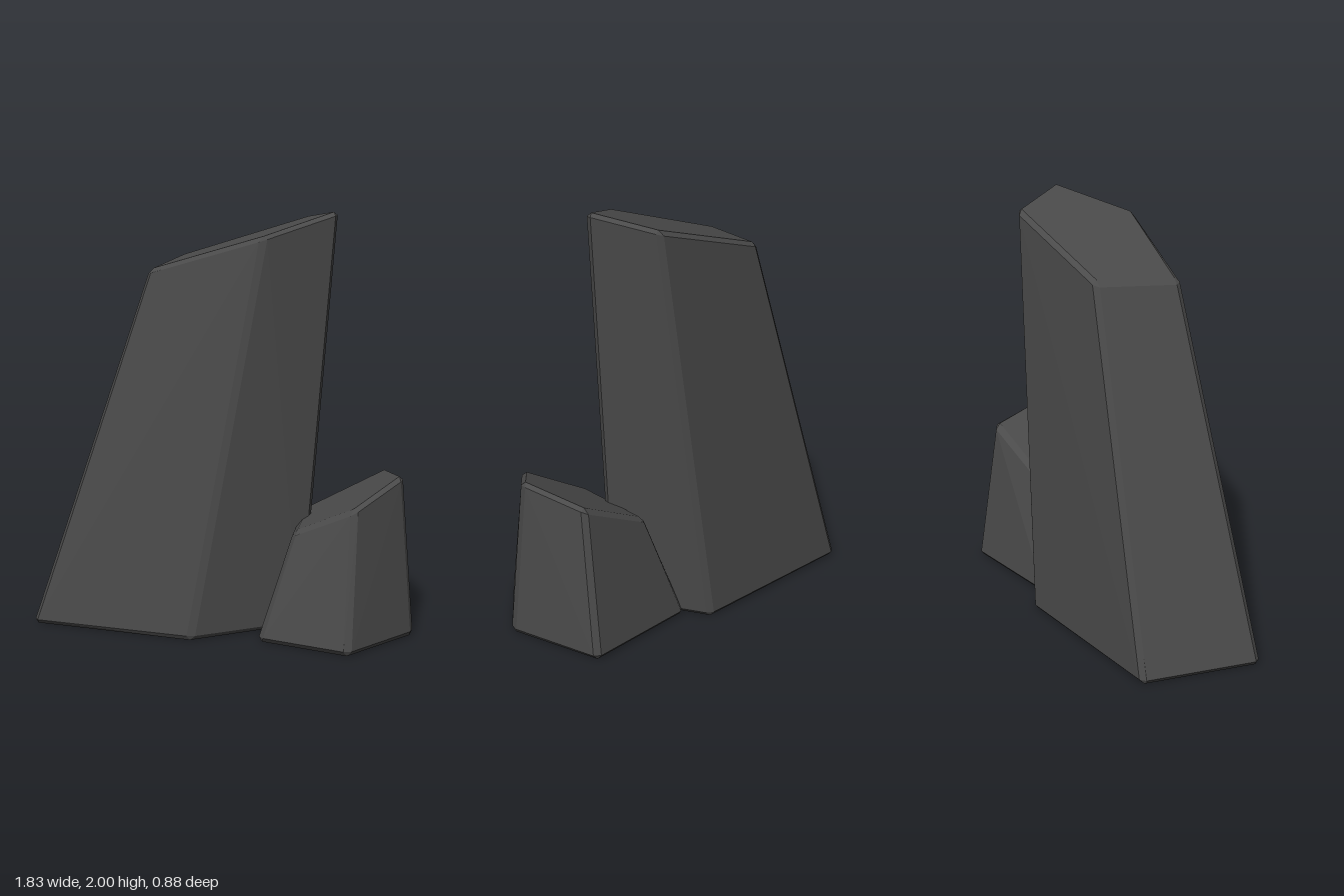
import * as THREE from 'three';
import { ConvexGeometry } from 'three/addons/geometries/ConvexGeometry.js';

// Five-sided slanted stone: base and top corners are [x, z] pairs,
// the top plane is y = height + slope * x, and every edge is chamfered.
function stoneGeometry(base, top, height, slope, bevel) {
  const n = base.length;
  const grow = (ring) => {
    const cx = ring.reduce((s, p) => s + p[0], 0) / n;
    const cz = ring.reduce((s, p) => s + p[1], 0) / n;
    return ring.map(([x, z]) => {
      const k = 1 + 0.012 / Math.hypot(x - cx, z - cz);
      return [cx + (x - cx) * k, cz + (z - cz) * k];
    });
  };
  const low = grow(base).map(([x, z]) => new THREE.Vector3(x, 0, z));
  const high = grow(top).map(([x, z]) => new THREE.Vector3(x, height + slope * x, z));
  const toward = (a, b) => b.clone().sub(a).setLength(bevel);
  const points = [];
  for (const [ring, other] of [[low, high], [high, low]]) {
    for (let i = 0; i < n; i++) {
      const p = ring[i];
      const prev = toward(p, ring[(i + n - 1) % n]);
      const next = toward(p, ring[(i + 1) % n]);
      const rise = toward(p, other[i]);
      // one point on each of the three faces meeting at the corner
      points.push(p.clone().add(prev).add(next));
      points.push(p.clone().add(prev).add(rise));
      points.push(p.clone().add(next).add(rise));
    }
  }
  return new ConvexGeometry(points);
}

export function createModel() {
  const group = new THREE.Group();
  const stone = new THREE.MeshStandardMaterial({ color: 0x4a4a4a });
  stone.name = 'darkStone';

  const add = (name, ...shape) => {
    const mesh = new THREE.Mesh(stoneGeometry(...shape), stone);
    mesh.name = name;
    group.add(mesh);
  };

  // Tall leaning stone
  add('tallRock',
    [[-0.92, 0.155], [-0.775, -0.40], [0.12, -0.44], [0.37, 0.0], [-0.13, 0.30]],
    [[-0.345, 0.07], [-0.25, -0.315], [0.36, -0.345], [0.52, -0.05], [0.20, 0.175]],
    1.846, 0.314, 0.022);

  // Short stone leaning against its side
  add('smallRock',
    [[0.20, 0.28], [0.20, -0.33], [0.785, -0.385], [0.91, 0.08], [0.63, 0.435]],
    [[0.36, 0.20], [0.37, -0.23], [0.76, -0.28], [0.845, 0.05], [0.645, 0.31]],
    0.345, 0.51, 0.024);

  return group;
}
